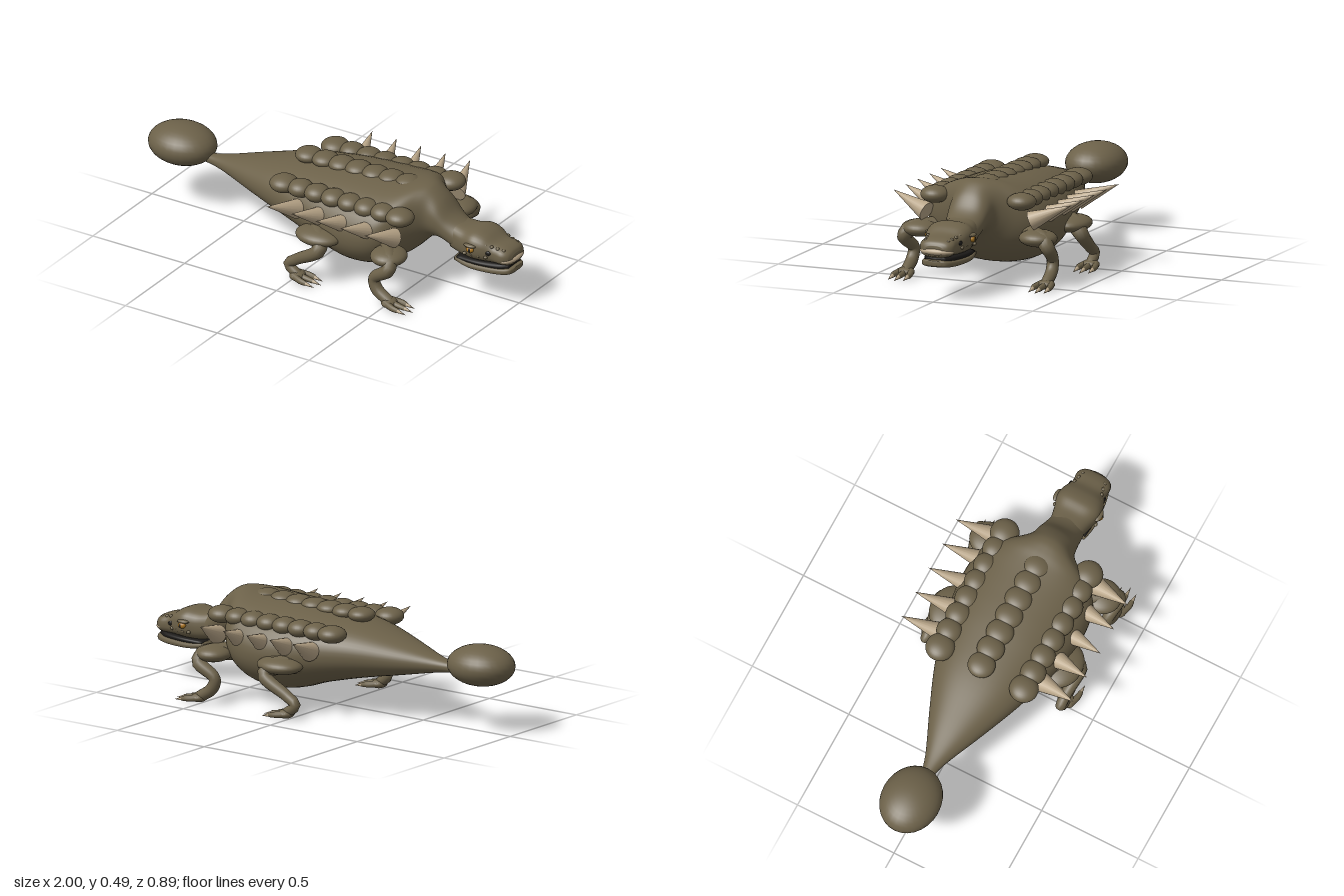
import * as THREE from 'three';

const paint = (name, color) => Object.assign(new THREE.MeshStandardMaterial({ color }), { name });
const hide = paint('olive hide', 0x6c6149);
const horn = paint('pale horn', 0xb8a588);
const amber = paint('amber eye', 0xb07a22);
const dark = paint('dark mouth', 0x1c1a18);

const V = (x, y, z) => new THREE.Vector3(x, y, z);

// Smooth skin through sections given as [x, top, bottom, halfWidth]
function loft(sections, steps, sides = 40, power = 1) {
  const edge = new THREE.CatmullRomCurve3(sections.map(s => V(s[1], s[2], s[3])), false, 'catmullrom');
  const axis = new THREE.CatmullRomCurve3(sections.map(s => V(s[0], 0, 0)), false, 'catmullrom');
  const pos = [], index = [];
  const soft = v => Math.sign(v) * Math.abs(v) ** power;
  for (let i = 0; i <= steps; i++) {
    const e = edge.getPoint(i / steps), x = axis.getPoint(i / steps).x;
    for (let j = 0; j < sides; j++) {
      const a = (j / sides) * Math.PI * 2;
      pos.push(x, (e.x + e.y) / 2 + soft(Math.cos(a)) * (e.x - e.y) / 2, soft(Math.sin(a)) * e.z);
      if (i === steps) continue;
      const p = i * sides + j, q = i * sides + (j + 1) % sides;
      index.push(p, q, p + sides, q, q + sides, p + sides);
    }
  }
  // End caps
  for (const end of [0, 1]) {
    const s = sections[end ? sections.length - 1 : 0], c = pos.length / 3, base = end * steps * sides;
    pos.push(s[0], (s[1] + s[2]) / 2, 0);
    for (let j = 0; j < sides; j++) {
      const p = base + j, q = base + (j + 1) % sides;
      index.push(c, end ? p : q, end ? q : p);
    }
  }
  const g = new THREE.BufferGeometry();
  g.setAttribute('position', new THREE.Float32BufferAttribute(pos, 3));
  g.setIndex(index);
  g.computeVertexNormals();
  return g;
}

// Tube whose thickness follows a list of radii
function limb(points, radii, seg = 28, sides = 14) {
  const curve = new THREE.CatmullRomCurve3(points);
  const g = new THREE.TubeGeometry(curve, seg, 1, sides);
  const p = g.attributes.position, v = new THREE.Vector3();
  const thickness = new THREE.CatmullRomCurve3(radii.map(r => V(r, 0, 0)), false, 'catmullrom');
  for (let i = 0; i <= seg; i++) {
    const c = curve.getPointAt(i / seg);
    const r = thickness.getPoint(curve.getUtoTmapping(i / seg)).x;
    for (let j = 0; j <= sides; j++) {
      const k = i * (sides + 1) + j;
      v.fromBufferAttribute(p, k).sub(c).multiplyScalar(r).add(c);
      p.setXYZ(k, v.x, v.y, v.z);
    }
  }
  return g;
}

export function createModel() {
  const model = new THREE.Group();
  model.name = 'armouredDinosaur';

  const add = (name, geometry, material, parent = model) => {
    const m = new THREE.Mesh(geometry, material);
    m.name = name;
    parent.add(m);
    return m;
  };
  const ball = (name, material, c, r, parent) => {
    const m = add(name, new THREE.SphereGeometry(1, 28, 18), material, parent);
    m.position.set(...c);
    m.scale.set(...r);
    return m;
  };
  const spike = (name, from, to, radius, parent) => {
    const dir = to.clone().sub(from);
    const m = add(name, new THREE.ConeGeometry(radius, dir.length(), 16), horn, parent);
    m.position.copy(from).addScaledVector(dir, 0.5);
    m.quaternion.setFromUnitVectors(V(0, 1, 0), dir.normalize());
  };
  const group = name => {
    const g = new THREE.Group();
    g.name = name;
    model.add(g);
    return g;
  };

  // Tail, trunk and neck in one skin
  add('body', loft([
    [-0.72, 0.295, 0.258, 0.018], [-0.6, 0.315, 0.245, 0.05], [-0.4, 0.37, 0.205, 0.135],
    [-0.2, 0.42, 0.165, 0.215], [0, 0.447, 0.115, 0.275], [0.12, 0.458, 0.075, 0.3],
    [0.22, 0.463, 0.058, 0.312], [0.32, 0.468, 0.068, 0.31], [0.4, 0.475, 0.105, 0.29],
    [0.46, 0.485, 0.15, 0.235], [0.51, 0.488, 0.2, 0.155], [0.55, 0.475, 0.235, 0.112],
    [0.6, 0.435, 0.242, 0.1], [0.65, 0.375, 0.228, 0.092], [0.7, 0.342, 0.205, 0.085],
    [0.75, 0.33, 0.205, 0.08],
  ], 75, 48, 0.94), hide);
  ball('tailClub', hide, [-0.833, 0.315, 0], [0.167, 0.095, 0.14]);

  // Rows of rounded back plates
  const plates = group('backPlates');
  for (let i = 0; i < 7; i++) {
    ball('middlePlate', hide, [-0.145 + i * 0.09, 0.448 + i * 0.001, 0], [0.063, 0.034, 0.065], plates);
  }
  for (const s of [1, -1]) for (let i = 0; i < 8; i++) {
    const r = i === 0 || i === 7 ? 0.068 : 0.061;
    ball('sidePlate', hide, [-0.14 + i * 0.09, 0.396, s * 0.217], [r, 0.04, r], plates);
  }

  // Flank spikes, swept up and back
  const spikes = group('flankSpikes');
  for (const s of [1, -1]) for (let i = 0; i < 5; i++) {
    const x = -0.088 + i * 0.133;
    spike('flankSpike', V(x + 0.042, 0.309, s * 0.262), V(x, 0.388, s * 0.447), 0.046, spikes);
  }

  // Legs: broad thigh, forward knee, backward shin, flat clawed foot
  const leg = (name, s, thigh, path, radii) => {
    const g = group(name);
    ball('thigh', hide, [thigh[0], 0.23, s * 0.295], [thigh[1], 0.04, 0.09], g);
    add('limb', limb(path.map(([x, y, z]) => V(x, y, s * z)), radii), hide, g);
    const [x, y, z] = path[path.length - 1];
    ball('sole', hide, [x, y - 0.003, s * z], [0.036, 0.022, 0.043], g);
    for (const k of [-1, 0, 1]) {
      const reach = k ? 0.07 : 0.085, tz = s * (z + k * 0.038);
      add('toe', limb([V(x - 0.01, y, s * (z + k * 0.022)), V(x + reach * 0.6, y - 0.008, tz),
        V(x + reach, 0.016, tz)], [0.017, 0.014, 0.011], 8, 10), hide, g);
      spike('claw', V(x + reach - 0.006, 0.016, tz), V(x + reach + 0.045, 0.006, tz), 0.01, g);
    }
  };
  for (const s of [1, -1]) {
    const side = s > 0 ? 'Near' : 'Far';
    leg('frontLeg' + side, s, [0.48, 0.085], [[0.43, 0.235, 0.23], [0.505, 0.228, 0.33],
      [0.52, 0.195, 0.36], [0.435, 0.125, 0.348], [0.45, 0.075, 0.35], [0.52, 0.028, 0.352]],
    [0.045, 0.038, 0.033, 0.028, 0.029, 0.026]);
    leg('hindLeg' + side, s, [0.1, 0.115], [[0.03, 0.235, 0.22], [0.125, 0.222, 0.33],
      [0.14, 0.188, 0.36], [0.02, 0.108, 0.35], [-0.03, 0.07, 0.35], [0.02, 0.028, 0.352]],
    [0.05, 0.042, 0.034, 0.027, 0.025, 0.024]);
  }

  // Head: skull, mouth gap, lower jaw and beak
  const head = group('head');
  add('skull', loft([
    [0.67, 0.345, 0.21, 0.08], [0.74, 0.337, 0.198, 0.095], [0.8, 0.345, 0.198, 0.111],
    [0.85, 0.333, 0.2, 0.104], [0.9, 0.305, 0.202, 0.085], [0.95, 0.293, 0.204, 0.086],
    [0.978, 0.28, 0.207, 0.07], [0.99, 0.262, 0.215, 0.045],
  ], 40, 36, 0.75), hide, head);
  add('mouth', loft([
    [0.71, 0.205, 0.178, 0.082], [0.82, 0.21, 0.18, 0.09], [0.93, 0.213, 0.18, 0.072],
    [0.975, 0.213, 0.18, 0.048],
  ], 16, 28, 0.6), dark, head);
  add('lowerJaw', loft([
    [0.7, 0.2, 0.17, 0.085], [0.78, 0.192, 0.156, 0.096], [0.88, 0.193, 0.154, 0.09],
    [0.95, 0.196, 0.158, 0.077], [0.982, 0.197, 0.164, 0.06], [0.993, 0.194, 0.172, 0.035],
  ], 24, 32, 0.6), hide, head);
  ball('beak', horn, [0.957, 0.235, 0], [0.044, 0.022, 0.084], head);

  // Eyes, nostrils and brow knobs
  for (const s of [1, -1]) {
    ball('eye', amber, [0.803, 0.272, s * 0.112], [0.02, 0.015, 0.014], head);
    ball('pupil', dark, [0.806, 0.272, s * 0.122], [0.007, 0.01, 0.005], head);
    ball('eyelid', hide, [0.8, 0.289, s * 0.108], [0.032, 0.009, 0.016], head);
    ball('nostril', dark, [0.885, 0.264, s * 0.088], [0.015, 0.011, 0.006], head);
    for (let i = 0; i < 5; i++) {
      ball('browKnob', hide, [0.84 + i * 0.028, 0.302 - i * 0.005, s * (0.084 - i * 0.007)],
        [0.009, 0.007, 0.009], head);
    }
    for (let i = 0; i < 4; i++) {
      ball('cheekKnob', hide, [0.77 + i * 0.035, 0.242, s * (0.106 - i * 0.005)],
        [0.01, 0.008, 0.009], head);
    }
  }
  return model;
}
